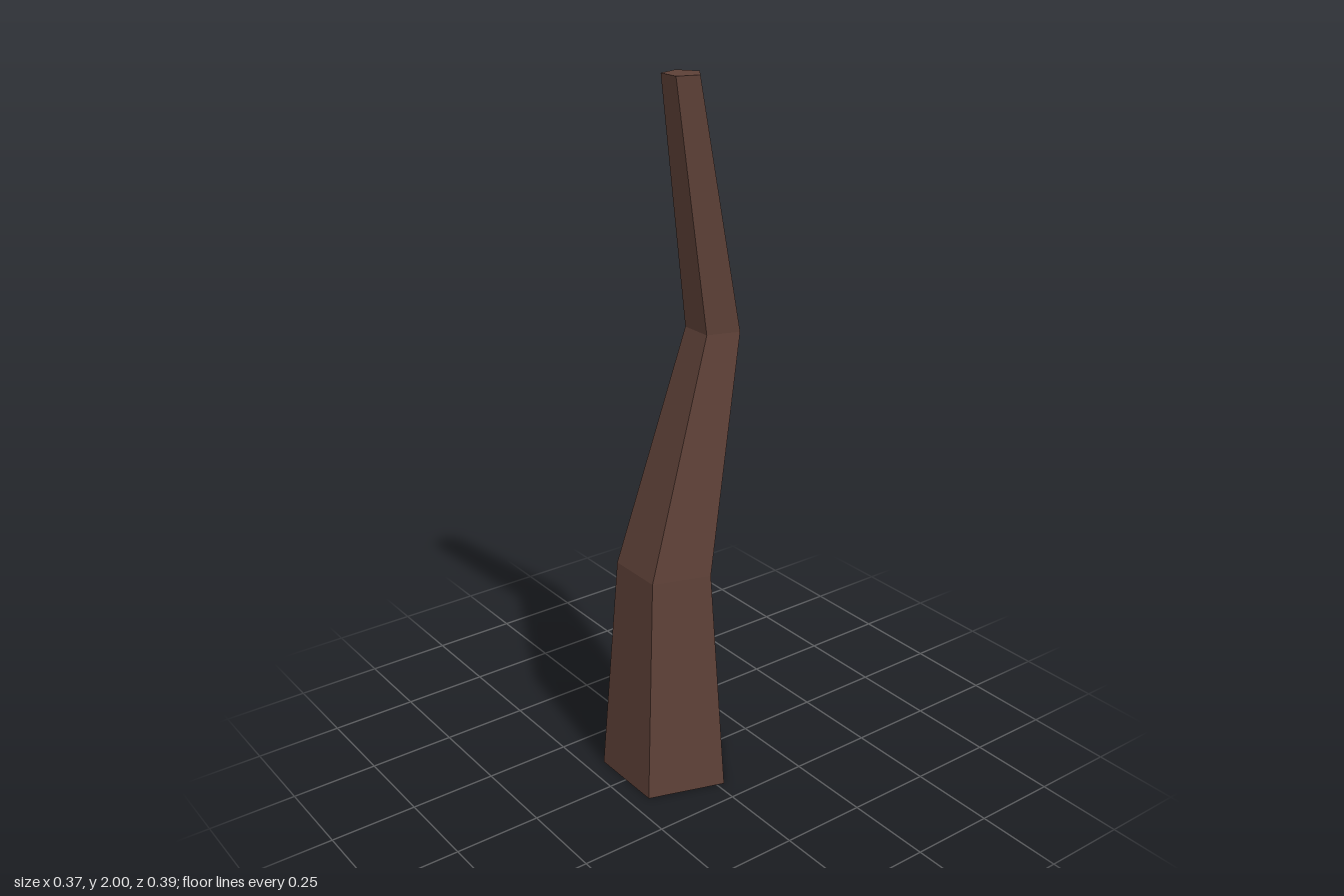
import * as THREE from 'three';

// Cross-sections from the ground up: height, radius, z offset
const SECTIONS = [
  { y: 0, r: 0.194, z: 0.039 },
  { y: 0.66, r: 0.143, z: 0.04 },
  { y: 1.32, r: 0.08, z: -0.118 },
  { y: 2, r: 0.054, z: -0.008 },
];

export function createModel() {
  const group = new THREE.Group();
  group.name = 'bentTrunk';

  // Five-sided unit column with one corner facing back, then bent and tapered
  const last = SECTIONS.length - 1;
  const geometry = new THREE.CylinderGeometry(1, 1, last, 5, last, false, Math.PI);
  const pos = geometry.attributes.position;
  for (let i = 0; i < pos.count; i++) {
    const s = SECTIONS[Math.round(pos.getY(i) + last / 2)];
    pos.setXYZ(i, pos.getX(i) * s.r, s.y, pos.getZ(i) * s.r + s.z);
  }
  geometry.computeVertexNormals();

  const trunk = new THREE.Mesh(
    geometry,
    new THREE.MeshStandardMaterial({ color: 0x5d4037, flatShading: true })
  );
  trunk.name = 'trunk';
  group.add(trunk);
  return group;
}
